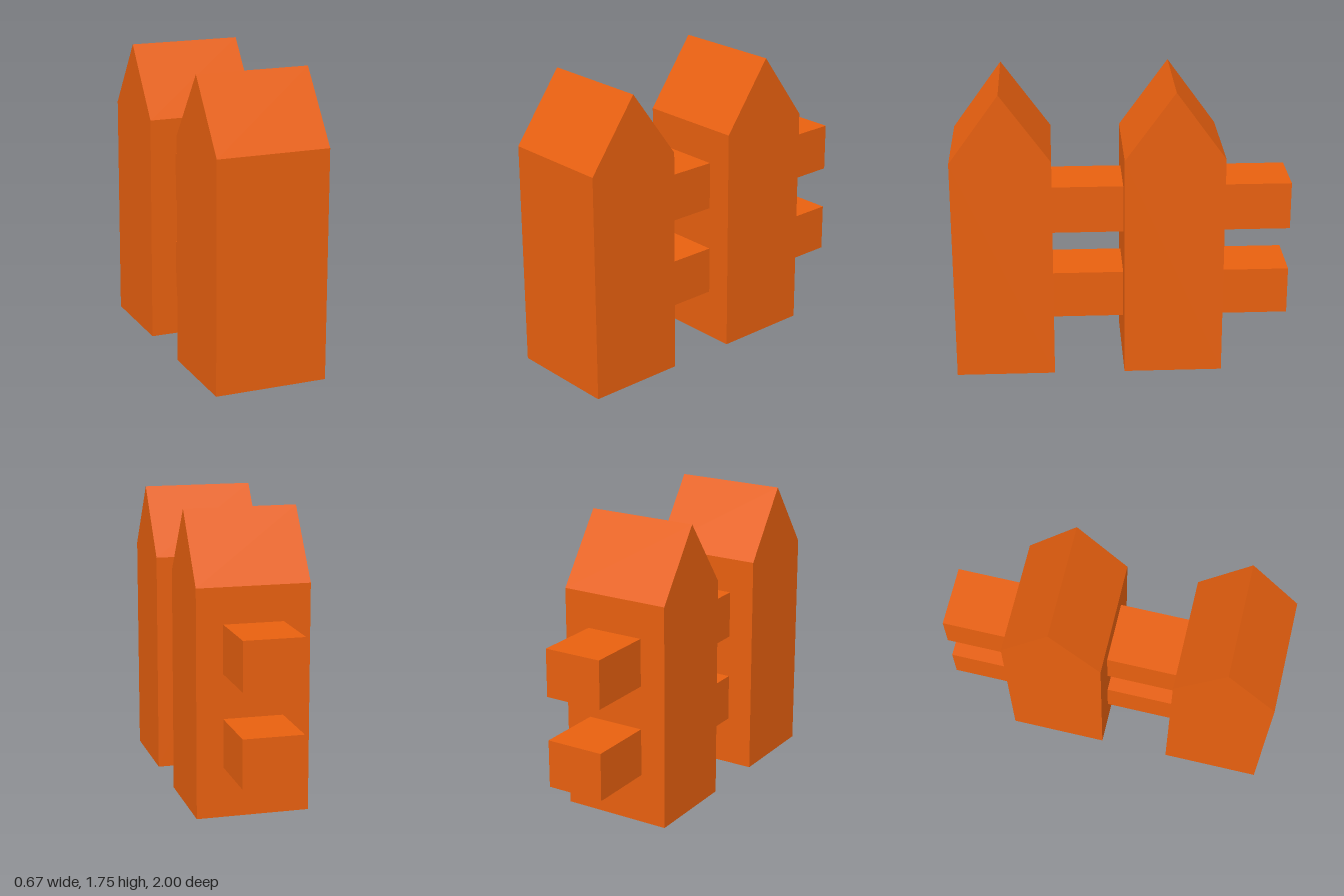
import * as THREE from 'three';

const WIDTH = 0.67, DEPTH = 0.585, SHOULDER = 1.35, PEAK = 1.755;

export function createModel() {
  const group = new THREE.Group();
  const paint = new THREE.MeshStandardMaterial({ color: 0xe8600f, flatShading: true });

  // Pointed picket: a gabled profile extruded across x
  const profile = new THREE.Shape();
  profile.moveTo(-DEPTH / 2, 0);
  profile.lineTo(DEPTH / 2, 0);
  profile.lineTo(DEPTH / 2, SHOULDER);
  profile.lineTo(0, PEAK);
  profile.lineTo(-DEPTH / 2, SHOULDER);
  profile.closePath();
  const picketGeometry = new THREE.ExtrudeGeometry(profile, { depth: WIDTH, bevelEnabled: false });
  picketGeometry.translate(0, 0, -WIDTH / 2).rotateY(-Math.PI / 2);

  for (const [name, z] of [['frontPicket', 0.7075], ['backPicket', -0.2975]]) {
    const picket = new THREE.Mesh(picketGeometry, paint);
    picket.name = name;
    picket.position.z = z;
    group.add(picket);
  }

  // Rails run through the back picket and end against the front one
  const railStart = -1, railEnd = 0.42;
  const railGeometry = new THREE.BoxGeometry(0.355, 0.287, railEnd - railStart);
  for (const [name, y] of [['lowerRail', 0.443], ['upperRail', 0.993]]) {
    const rail = new THREE.Mesh(railGeometry, paint);
    rail.name = name;
    rail.position.set(0, y, (railStart + railEnd) / 2);
    group.add(rail);
  }

  return group;
}
